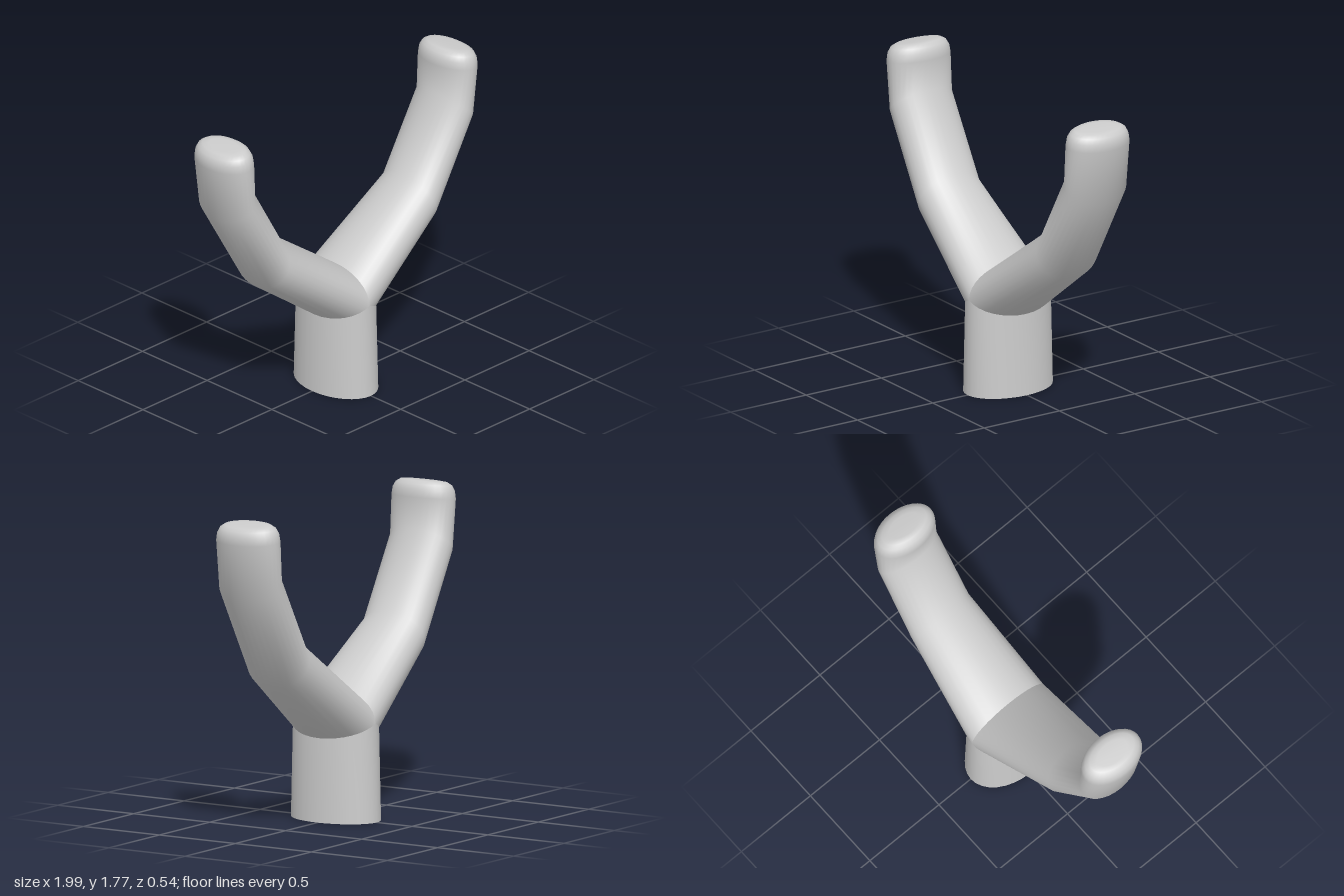
import * as THREE from 'three';

const SIDES = 32;

// Skin a list of closed rings (each an array of SIDES points) with smooth normals.
function loft(rings, material, name, tip) {
  const pos = [], index = [];
  rings.forEach(ring => ring.forEach(p => pos.push(p.x, p.y, p.z)));
  for (let r = 0; r < rings.length - 1; r++) {
    for (let i = 0; i < SIDES; i++) {
      const j = (i + 1) % SIDES;
      const a = r * SIDES + i, b = r * SIDES + j, c = a + SIDES, d = b + SIDES;
      index.push(a, b, c, b, d, c);
    }
  }
  if (tip) {
    const last = (rings.length - 1) * SIDES, t = pos.length / 3;
    pos.push(tip.x, tip.y, tip.z);
    for (let i = 0; i < SIDES; i++) index.push(last + i, last + (i + 1) % SIDES, t);
  }
  const geo = new THREE.BufferGeometry();
  geo.setAttribute('position', new THREE.Float32BufferAttribute(pos, 3));
  geo.setIndex(index);
  geo.computeVertexNormals();
  const mesh = new THREE.Mesh(geo, material);
  mesh.name = name;
  return mesh;
}

// One ring: fn receives the cosine and sine of the angle.
const ring = fn => Array.from({ length: SIDES }, (_, i) => {
  const t = (i / SIDES) * Math.PI * 2;
  return new THREE.Vector3(...fn(Math.cos(t), Math.sin(t)));
});

// Elliptical ring between an inner and an outer point of the fork, half depth dz.
const section = (inner, outer, dz) => ring((c, s) => [
  (inner[0] + outer[0]) / 2 + c * (inner[0] - outer[0]) / 2,
  (inner[1] + outer[1]) / 2 + c * (inner[1] - outer[1]) / 2,
  s * dz,
]);

function armRings() {
  return [
    // mitred start: upper half on the centre plane, lower half on the stem joint
    ring((c, s) => c > 0 ? [0, 0.55 + 0.17 * c, 0.26 * s] : [-0.172 * c, 0.55 + 0.082 * c, 0.26 * s]),
    section([0.51, 1.085], [0.635, 0.81], 0.2),
    section([0.75, 1.505], [0.945, 1.33], 0.196),
    // rounded end
    section([0.745, 1.68], [0.996, 1.655], 0.195),
    section([0.75, 1.722], [0.994, 1.698], 0.188),
    section([0.766, 1.75], [0.98, 1.728], 0.172),
    section([0.79, 1.766], [0.956, 1.745], 0.145),
    section([0.82, 1.768], [0.93, 1.752], 0.1),
  ];
}

export function createModel() {
  const group = new THREE.Group();
  group.name = 'forkedPost';
  const material = new THREE.MeshStandardMaterial({ color: 0xcccccc, side: THREE.DoubleSide });

  // Stem, open at the bottom, its top cut to meet both arms
  group.add(loft([
    ring((c, s) => [0.186 * s, 0, 0.27 * c]),
    ring((c, s) => [0.172 * s, 0.55 - 0.082 * Math.abs(s), 0.26 * c]),
  ], material, 'stem'));

  // Two mirrored arms
  const tip = new THREE.Vector3(0.875, 1.758, 0);
  const left = armRings();
  const right = left.map(r => r.map((_, i) => {
    const p = r[(SIDES - i) % SIDES];
    return new THREE.Vector3(-p.x, p.y, -p.z);
  }));
  // reversing the order keeps the faces outward on each side
  const flip = rings => rings.map(r => r.map((_, i) => r[(SIDES - i) % SIDES]));
  group.add(loft(flip(left), material, 'leftArm', tip));
  group.add(loft(right, material, 'rightArm', new THREE.Vector3(-tip.x, tip.y, 0)));
  return group;
}
